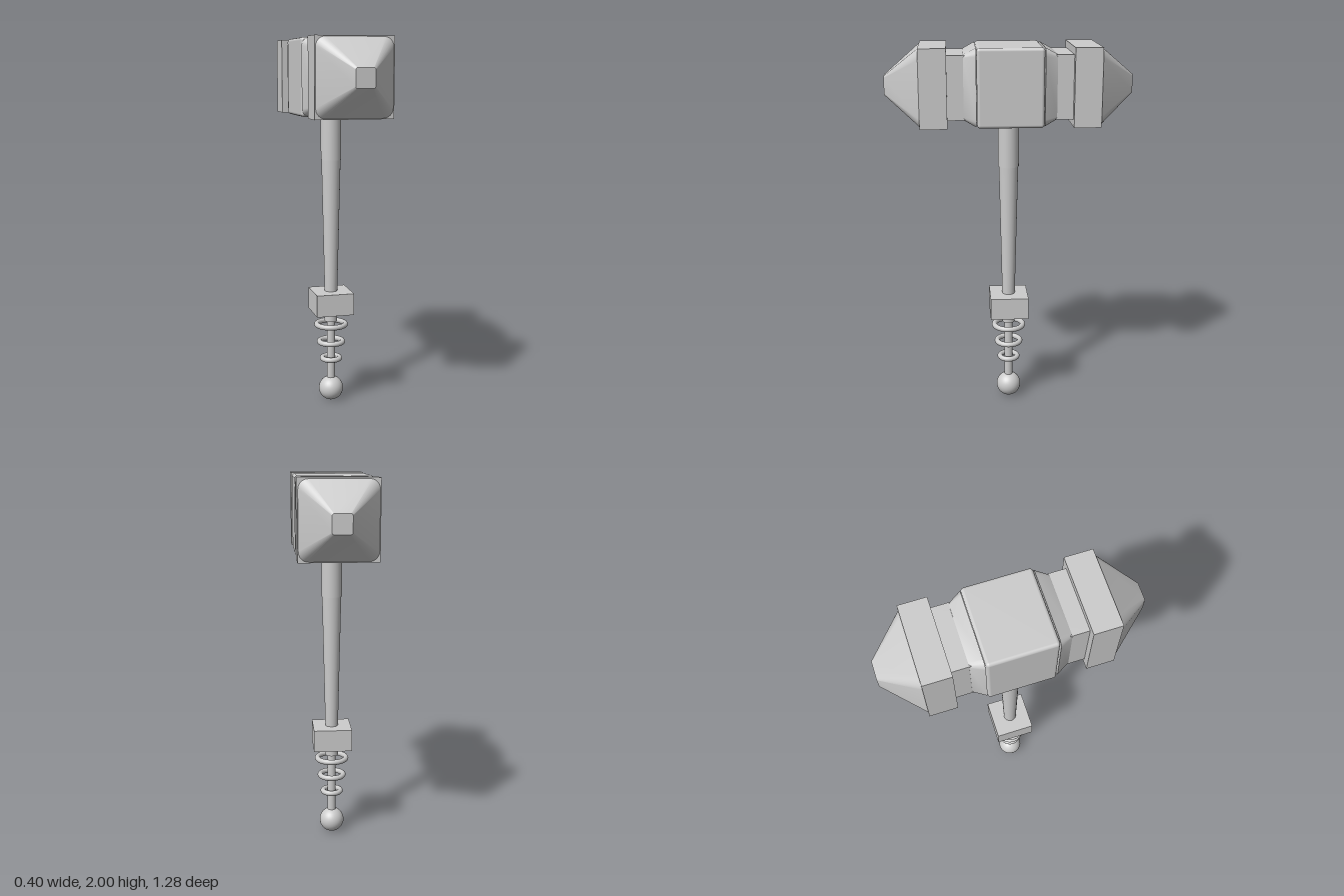
import * as THREE from 'three';
import { toCreasedNormals } from 'three/addons/utils/BufferGeometryUtils.js';
import { RoundedBoxGeometry } from 'three/addons/geometries/RoundedBoxGeometry.js';

// Rounded square outline, counter-clockwise
function roundedSquare(half, radius, steps = 6) {
  const points = [];
  for (let corner = 0; corner < 4; corner++) {
    const start = corner * Math.PI / 2;
    const sx = corner === 0 || corner === 3 ? 1 : -1;
    const sy = corner < 2 ? 1 : -1;
    for (let i = 0; i <= steps; i++) {
      const a = start + i / steps * Math.PI / 2;
      points.push([sx * (half - radius) + radius * Math.cos(a), sy * (half - radius) + radius * Math.sin(a)]);
    }
  }
  return points;
}

// Capped solid through rounded squares given as [z, half, radius], z rising
function loft(sections) {
  const positions = [], indices = [];
  const n = roundedSquare(1, 0.1).length;
  for (const [z, half, radius] of sections) {
    for (const [x, y] of roundedSquare(half, radius)) positions.push(x, y, z);
  }
  for (let s = 0; s < sections.length - 1; s++) {
    for (let j = 0; j < n; j++) {
      const a = s * n + j, b = s * n + (j + 1) % n;
      indices.push(a, b, b + n, a, b + n, a + n);
    }
  }
  const last = (sections.length - 1) * n;
  for (let j = 1; j < n - 1; j++) {
    indices.push(0, j + 1, j, last, last + j, last + j + 1);
  }
  const geometry = new THREE.BufferGeometry();
  geometry.setAttribute('position', new THREE.Float32BufferAttribute(positions, 3));
  geometry.setIndex(indices);
  return toCreasedNormals(geometry, 0.5);
}

export function createModel() {
  const model = new THREE.Group();
  model.name = 'hammer';
  const grey = new THREE.MeshStandardMaterial({ color: 0xcccccc });
  grey.name = 'grey';

  function add(parent, name, geometry, y = 0, z = 0) {
    const mesh = new THREE.Mesh(geometry, grey);
    mesh.name = name;
    mesh.position.set(0, y, z);
    parent.add(mesh);
    return mesh;
  }

  // Head: central block, core and two mirrored striking ends
  const head = new THREE.Group();
  head.name = 'head';
  head.position.y = 1.8;
  model.add(head);
  add(head, 'headBlock', new RoundedBoxGeometry(0.4, 0.4, 0.34, 4, 0.016));
  add(head, 'headCore', new THREE.BoxGeometry(0.325, 0.325, 0.66));
  for (const side of ['front', 'back']) {
    const end = new THREE.Group();
    end.name = side + 'End';
    end.rotation.y = side === 'front' ? 0 : Math.PI;
    head.add(end);
    add(end, 'bevelCollar', loft([[0.173, 0.198, 0.04], [0.237, 0.164, 0.02]]));
    add(end, 'endSlab', new THREE.BoxGeometry(0.4, 0.4, 0.14), 0, 0.39);
    add(end, 'taperedTip', loft([[0.458, 0.197, 0.05], [0.64, 0.048, 0.01]]));
  }

  // Handle
  add(model, 'handleSocket', new THREE.CylinderGeometry(0.055, 0.055, 0.25, 32), 1.485);
  add(model, 'handleShaft', new THREE.CylinderGeometry(0.052, 0.035, 0.74, 32), 1.0);
  add(model, 'guardBlock', new THREE.BoxGeometry(0.208, 0.12, 0.208), 0.573);
  add(model, 'lowerCollar', new THREE.CylinderGeometry(0.035, 0.035, 0.07, 32), 0.495);
  add(model, 'lowerRod', new THREE.CylinderGeometry(0.023, 0.023, 0.36, 24), 0.29);

  // Loose rings shrinking toward the pommel
  [[0.44, 0.094], [0.34, 0.079], [0.243, 0.063]].forEach(([y, outer], i) => {
    const tube = 0.0145;
    const ring = add(model, 'ring' + (i + 1), new THREE.TorusGeometry(outer - tube, tube, 14, 48), y);
    ring.rotation.x = Math.PI / 2;
  });

  add(model, 'pommel', new THREE.SphereGeometry(0.068, 32, 20), 0.068);
  return model;
}
